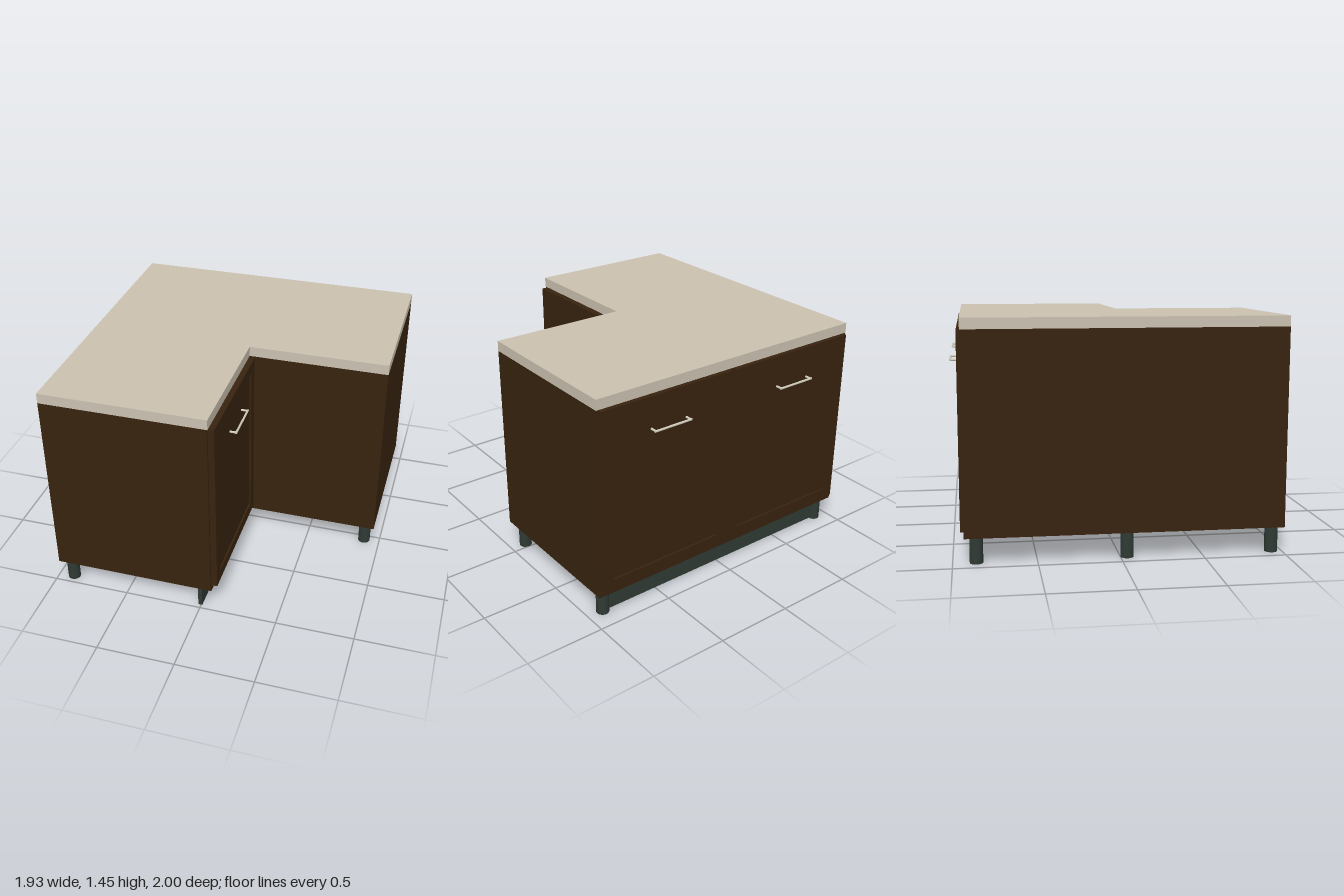
import * as THREE from 'three';

const mat = (name, color) => Object.assign(new THREE.MeshStandardMaterial({ color }), { name });

export function createModel() {
  const wood = mat('dark wood', 0x38230f);
  const stone = mat('pale worktop', 0xcac1b0);
  const plastic = mat('grey plinth', 0x2f3a33);
  const metal = mat('handle metal', 0xcfcaba);

  const model = new THREE.Group();
  model.name = 'cornerCabinet';

  const add = (parent, name, geometry, material, x = 0, y = 0, z = 0) => {
    const mesh = new THREE.Mesh(geometry, material);
    mesh.name = name;
    mesh.position.set(x, y, z);
    parent.add(mesh);
    return mesh;
  };

  // L-shaped slab, notched at the front left corner; inset pulls in the door sides
  const slab = (name, y0, y1, material, inset = 0) => {
    const back = -0.932 + inset, inner = 0.08 - inset;
    const outline = [[-0.963, 1], [inner, 1], [inner, 0.115], [0.963, 0.115], [0.963, back], [-0.963, back]];
    const shape = new THREE.Shape(outline.map(([x, z]) => new THREE.Vector2(x, -z)));
    const geometry = new THREE.ExtrudeGeometry(shape, { depth: y1 - y0, bevelEnabled: false });
    geometry.rotateX(-Math.PI / 2);
    add(model, name, geometry, material, 0, y0, 0);
  };
  slab('baseBoard', 0.163, 0.196, wood);
  slab('carcass', 0.196, 1.38, wood, 0.004);
  slab('worktop', 1.38, 1.445, stone);

  // Framed door with a recessed panel and a bar handle, facing local +z
  const door = (name, width, thickness, x, z, turn) => {
    const group = new THREE.Group();
    group.name = name;
    const w = width / 2, h = 0.5875, stile = 0.07;
    const rect = (path, a, b) => path.moveTo(-a, -b).lineTo(a, -b).lineTo(a, b).lineTo(-a, b).closePath();
    const frame = rect(new THREE.Shape(), w, h);
    frame.holes.push(rect(new THREE.Path(), w - stile, h - stile));
    add(group, 'doorFrame', new THREE.ExtrudeGeometry(frame, { depth: thickness, bevelEnabled: false }), wood);
    const panelDepth = thickness - 0.012;
    add(group, 'doorPanel', new THREE.BoxGeometry(2 * (w - stile), 2 * (h - stile), panelDepth),
      wood, 0, 0, panelDepth / 2);

    // Handle bar on two short posts
    const r = 0.007, reach = 0.048, y = 1.175 - 0.7875;
    const bar = new THREE.CylinderGeometry(r, r, 0.265, 12).rotateZ(Math.PI / 2);
    add(group, 'handleBar', bar, metal, 0, y, thickness + reach - r);
    for (const side of [-1, 1]) {
      const post = new THREE.CylinderGeometry(r, r, reach - r, 12).rotateX(Math.PI / 2);
      add(group, 'handlePost', post, metal, side * 0.1255, y, thickness + (reach - r) / 2);
    }
    group.position.set(x, 0.7875, z);
    group.rotation.y = turn;
    model.add(group);
  };
  door('backDoorRight', 0.93, 0.024, -0.483, -0.928, Math.PI);
  door('backDoorLeft', 0.93, 0.024, 0.48, -0.928, Math.PI);
  door('innerDoor', 0.855, 0.039, 0.076, 0.558, Math.PI / 2);

  // Legs under the outer corners
  for (const [x, z] of [[-0.898, 0.935], [-0.898, 0.04], [-0.898, -0.86], [0.895, 0.04], [0.895, -0.86]]) {
    add(model, 'leg', new THREE.CylinderGeometry(0.04, 0.04, 0.163, 28), plastic, x, 0.0815, z);
  }

  // Plinth boards below the door sides
  add(model, 'backPlinth', new THREE.BoxGeometry(1.73, 0.145, 0.026), plastic, 0, 0.083, -0.86);
  add(model, 'innerPlinth', new THREE.BoxGeometry(0.026, 0.145, 0.865), plastic, -0.002, 0.083, 0.55);

  return model;
}
